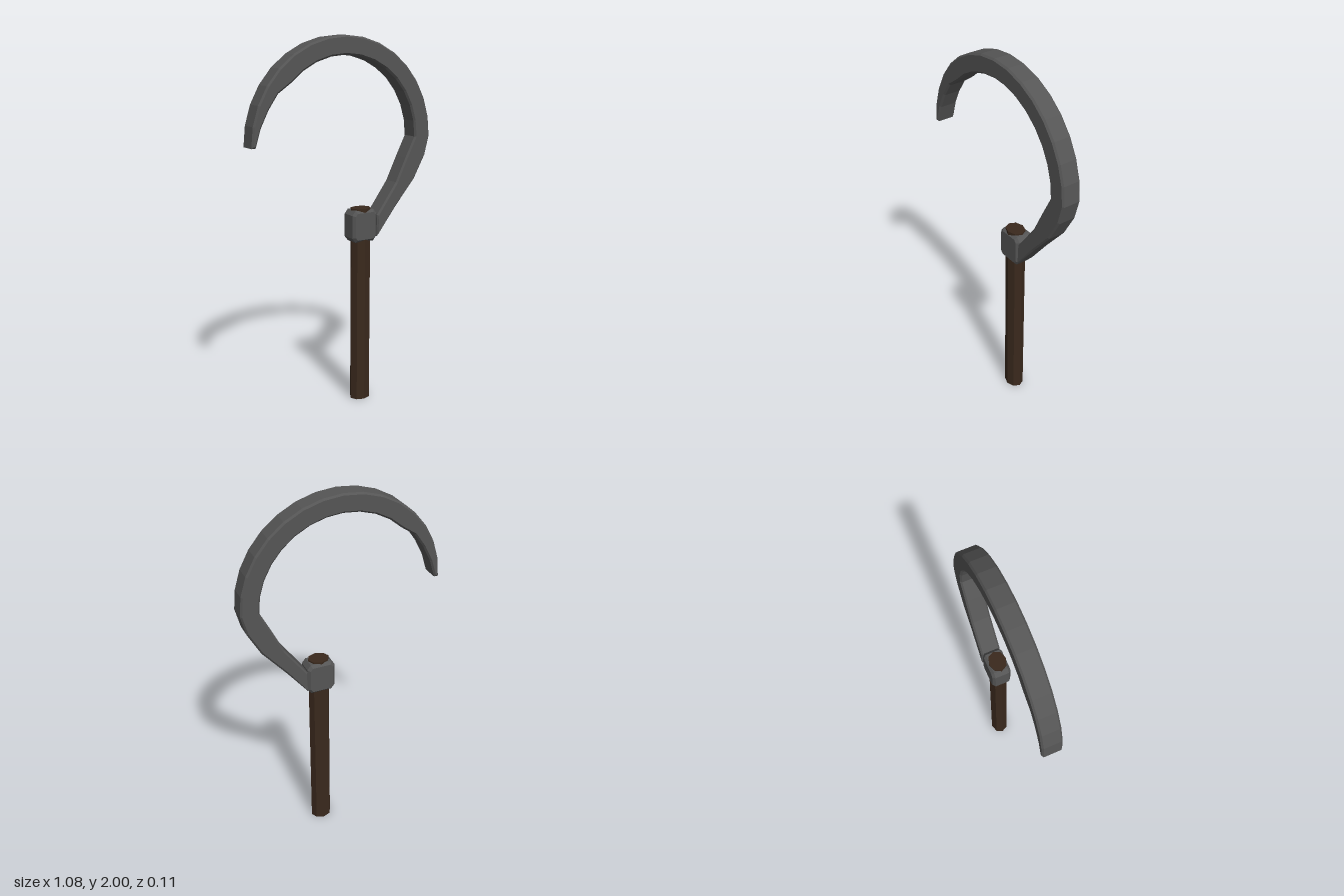
import * as THREE from 'three';

const metal = new THREE.MeshStandardMaterial({ color: 0x555555 });
metal.name = 'dark metal';
const wood = new THREE.MeshStandardMaterial({ color: 0x3a291d });
wood.name = 'dark wood';

// Bevelled plate whose outline and thickness include the bevel, centred on z = 0
function plate(name, points, thickness, bevel) {
  const shape = new THREE.Shape(points);
  const geometry = new THREE.ExtrudeGeometry(shape, {
    depth: thickness - 2 * bevel,
    bevelEnabled: true,
    bevelThickness: bevel,
    bevelSize: bevel,
    bevelOffset: -bevel,
    bevelSegments: 1,
  });
  geometry.translate(0, 0, bevel - thickness / 2);
  const mesh = new THREE.Mesh(geometry, metal);
  mesh.name = name;
  return mesh;
}

export function createModel() {
  const group = new THREE.Group();
  group.name = 'sickle';

  // Octagonal handle, slightly flattened front to back
  const shaft = new THREE.CylinderGeometry(0.058, 0.058, 1.093, 8).toNonIndexed();
  shaft.scale(1, 1, 0.83);
  shaft.computeVertexNormals();
  const handle = new THREE.Mesh(shaft, wood);
  handle.name = 'handle';
  handle.position.set(0.12, 1.093 / 2, 0.004);
  group.add(handle);

  // Collar with cut corners
  const [l, r, b, t, cx, cy] = [0.046, 0.2, 0.91, 1.085, 0.02, 0.025];
  const collar = [
    [l + cx, b], [r - cx, b], [r, b + cy], [r, t - cy],
    [r - cx, t], [l + cx, t], [l, t - cy], [l, b + cy],
  ].map(([x, y]) => new THREE.Vector2(x, y));
  group.add(plate('collar', collar, 0.105, 0.014));

  // Blade: round outer edge, inner edge closing in towards the tip
  const steps = 16;
  const arc = (radius, i) => {
    const a = (i / steps) * Math.PI;
    return new THREE.Vector2(radius * Math.cos(a), 1.46 + radius * Math.sin(a));
  };
  const outer = [], inner = [];
  const taper = [0.442, 0.468, 0.479, 0.496, 0.517];
  for (let i = 0; i <= steps; i++) {
    outer.push(arc(0.54, i));
    inner.push(arc(i < 12 ? 0.442 : taper[i - 12], i));
  }
  const tang = [[0.2, 0.932], [0.317, 1.08], [0.444, 1.23], [0.513, 1.355]];
  const tangInner = [[0.386, 1.35], [0.322, 1.218], [0.2, 1.05]];
  const toPoint = ([x, y]) => new THREE.Vector2(x, y);
  const outline = [
    ...tang.map(toPoint), ...outer, ...inner.reverse(), ...tangInner.map(toPoint),
  ];
  group.add(plate('blade', outline, 0.106, 0.009));

  return group;
}
